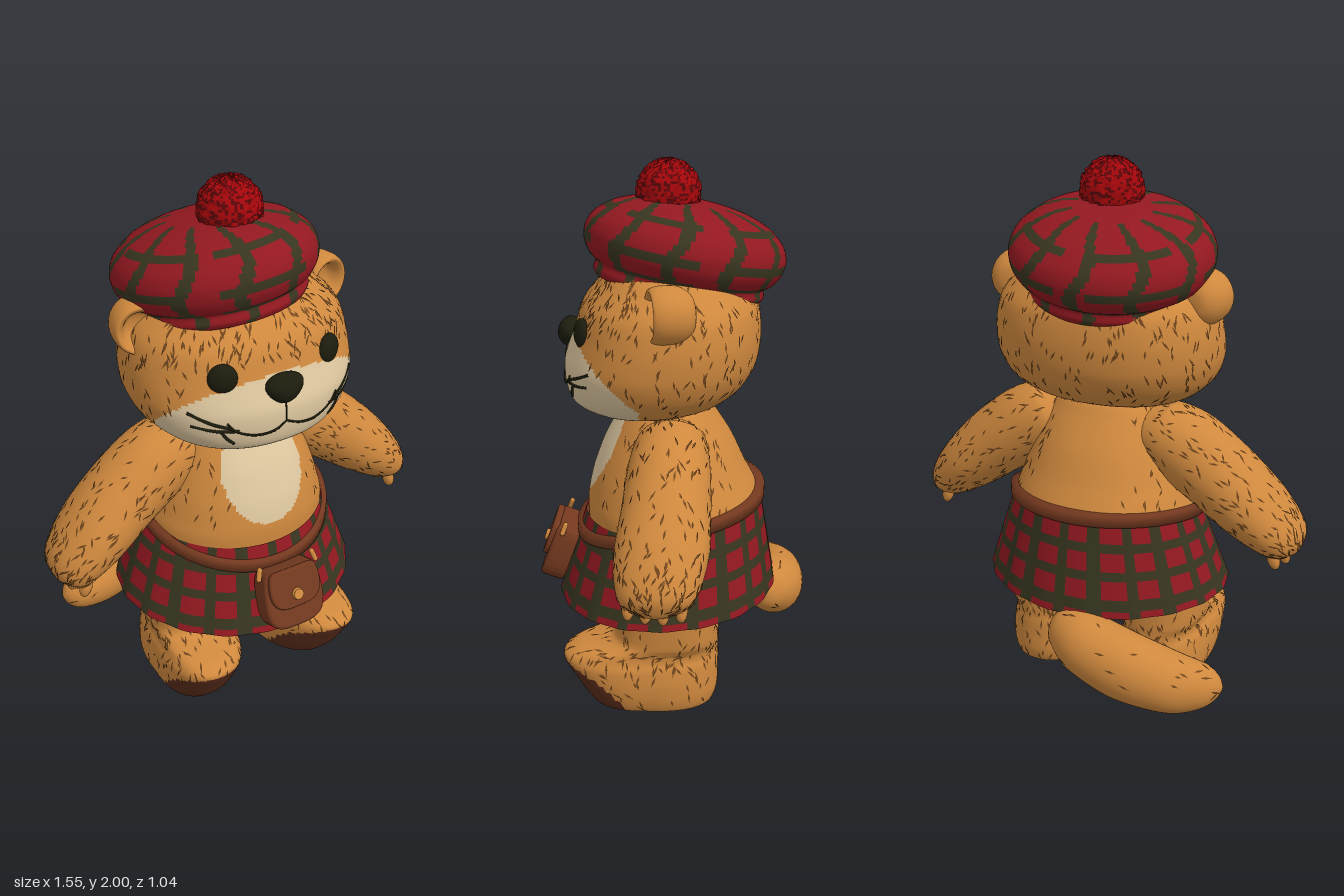
import * as THREE from 'three';

const V = (x, y, z) => new THREE.Vector3(x, y, z);
const TAU = Math.PI * 2;
const SIDES = [['left', 1], ['right', -1]];

function seeded(seed) {
  return () => (seed = (seed * 16807) % 2147483647) / 2147483647;
}

// Smooth sweep through rows [x, y, z, radius, depthRadius], closed at both ends; n is the superellipse exponent
function sweep(rows, n = 2) {
  const last = rows.length - 1;
  const at = (v) => {
    const f = Math.min(Math.max(v, 0), 1) * last, i = Math.min(Math.floor(f), last - 1), t = f - i;
    const r = (k) => rows[Math.min(Math.max(k, 0), last)];
    return rows[0].map((_, c) => {
      const a = r(i - 1)[c], b = r(i)[c], d = r(i + 1)[c], e = r(i + 2)[c];
      const m0 = (d - a) * 0.42, m1 = (e - b) * 0.42, t2 = t * t, t3 = t2 * t;
      return (2 * t3 - 3 * t2 + 1) * b + (t3 - 2 * t2 + t) * m0 + (3 * t2 - 2 * t3) * d + (t3 - t2) * m1;
    });
  };
  const pow = (c) => Math.sign(c) * Math.abs(c) ** (2 / n);
  return (u, v) => {
    const [x, y, z, r, rz] = at(v), a = at(v - 0.01), b = at(v + 0.01), open = v > 0 && v < 1 ? 1 : 0;
    const side = V(b[1] - a[1], a[0] - b[0], 0).normalize();
    const c = pow(Math.cos(u * TAU)) * Math.max(r * open, 0.0003), s = pow(Math.sin(u * TAU)) * Math.max(rz * open, 0.0003);
    return V(x + side.x * c, y + side.y * c, z + s);
  };
}

// Grid over P(u, v), closed in u; pick chooses a material index for each cell
function surface(name, P, nu, nv, mats, pick = () => 0) {
  const pos = [], lists = mats.map(() => []);
  for (let j = 0; j <= nv; j++) for (let i = 0; i < nu; i++) pos.push(...P(i / nu, j / nv).toArray());
  for (let j = 0; j < nv; j++) for (let i = 0; i < nu; i++) {
    const k = (i + 1) % nu, a = j * nu + i, b = j * nu + k, c = a + nu, d = b + nu;
    const u = (i + 0.5) / nu, v = (j + 0.5) / nv;
    lists[pick(u, v, P(u, v))].push(a, c, b, b, c, d);
  }
  const g = new THREE.BufferGeometry();
  g.setAttribute('position', new THREE.Float32BufferAttribute(pos, 3));
  g.setIndex(lists.flat());
  let start = 0;
  lists.forEach((l, m) => { g.addGroup(start, l.length, m); start += l.length; });
  g.computeVertexNormals();
  const mesh = new THREE.Mesh(g, mats);
  mesh.name = name;
  return mesh;
}

// Thin fur strokes lying on a surface, combed along v
function fur(name, P, count, mat, seed, keep = () => true) {
  const rnd = seeded(seed), pos = [], e = 0.004;
  for (let k = 0; k < count; k++) {
    const u = rnd(), v = 0.06 + rnd() * 0.88, p = P(u, v);
    const twist = (rnd() - 0.5) * 1.3, half = 0.013 + rnd() * 0.014;
    if (!keep(p)) continue;
    const dv = P(u, v + e).sub(P(u, v - e)).normalize(), du = P(u + e, v).sub(P(u - e, v)).normalize();
    const n = dv.clone().cross(du).normalize();
    const d = dv.applyAxisAngle(n, twist), s = n.clone().cross(d).multiplyScalar(0.0042);
    p.addScaledVector(n, 0.003);
    const a = p.clone().addScaledVector(d, -half), b = p.clone().addScaledVector(d, half);
    for (const q of [a, p.clone().add(s), b, a, b, p.clone().sub(s)]) pos.push(q.x, q.y, q.z);
  }
  const g = new THREE.BufferGeometry();
  g.setAttribute('position', new THREE.Float32BufferAttribute(pos, 3));
  g.computeVertexNormals();
  const m = new THREE.Mesh(g, mat);
  m.name = name;
  return m;
}

export function createModel() {
  const root = new THREE.Group();
  const mat = (name, color, side = THREE.FrontSide) => {
    const m = new THREE.MeshStandardMaterial({ color, side });
    m.name = name;
    return m;
  };
  const tan = mat('tan fur', 0xd0893e), cream = mat('cream fur', 0xdfc8a0), stroke = mat('fur strokes', 0x6e441b, THREE.DoubleSide);
  const red = mat('tartan red', 0x931820, THREE.DoubleSide), green = mat('tartan green', 0x37351f, THREE.DoubleSide);
  const leather = mat('leather', 0x74391f), sole = mat('sole brown', 0x5a2c1b), black = mat('eye black', 0x1d1c0d);
  const pomRed = mat('pompom red', 0xa5060a), pomDark = mat('pompom dark red', 0x5c0508);
  const add = (name, geo, m, x, y, z, parent = root) => {
    const mesh = new THREE.Mesh(geo, m);
    mesh.name = name;
    mesh.position.set(x, y, z);
    parent.add(mesh);
    return mesh;
  };

  // Torso with chest patch
  const torso = sweep([[0, 0.27, 0, 0.02, 0.02], [0, 0.29, 0, 0.15, 0.15], [0, 0.34, 0, 0.27, 0.26], [0, 0.45, 0, 0.33, 0.3],
    [0, 0.6, 0, 0.355, 0.32], [0, 0.72, 0, 0.354, 0.326], [0, 0.78, 0.004, 0.338, 0.316], [0, 0.86, 0.015, 0.312, 0.286], [0, 0.97, 0.02, 0.27, 0.24],
    [0, 1.08, 0.025, 0.22, 0.175], [0, 1.14, 0.025, 0.16, 0.13], [0, 1.18, 0.025, 0.02, 0.02]], 2.1);
  const onChest = (p) => p.z > 0 && (p.x / 0.165) ** 2 + ((p.y - 0.95) / 0.185) ** 2 < 1;
  root.add(surface('torso', torso, 160, 80, [tan, cream], (u, v, p) => (onChest(p) ? 1 : 0)));
  root.add(fur('torsoFur', torso, 420, stroke, 11, (p) => p.y > 0.78 && Math.abs(p.x) > 0.15));

  // Head with pale muzzle
  const headRows = [[0, 1.085, 0.12, 0.02, 0.02], [0, 1.095, 0.12, 0.15, 0.14], [0, 1.12, 0.11, 0.25, 0.21], [0, 1.16, 0.09, 0.33, 0.287],
    [0, 1.22, 0.065, 0.39, 0.33], [0, 1.3, 0.045, 0.42, 0.35], [0, 1.4, 0.022, 0.42, 0.338], [0, 1.5, 0.012, 0.395, 0.315],
    [0, 1.57, 0.005, 0.335, 0.265], [0, 1.64, 0, 0.24, 0.2], [0, 1.69, 0, 0.02, 0.02]];
  const head = sweep(headRows, 2.2);
  const onMuzzle = (p) => p.z > 0.11 && p.y < 1.42 - 0.9 * (0.36 - p.z);
  root.add(surface('head', head, 180, 100, [tan, cream], (u, v, p) => (onMuzzle(p) ? 1 : 0)));
  root.add(fur('headFur', head, 750, stroke, 23, (p) => !onMuzzle(p) && p.y > 1.13));
  root.add(fur('foreheadFur', head, 1100, stroke, 29, (p) => p.z > 0.1 && p.y > 1.46));
  const faceZ = (x, y) => {
    const i = headRows.findIndex((r) => r[1] > y), a = headRows[i - 1], b = headRows[i], t = (y - a[1]) / (b[1] - a[1]);
    const [, , cz, rx, rz] = a.map((q, c) => q + (b[c] - q) * t);
    return cz + rz * (1 - Math.abs(x / rx) ** 2.2) ** (1 / 2.2);
  };
  const faceLine = (name, pts, r) => {
    const curve = new THREE.CatmullRomCurve3(pts.map(([x, y]) => V(x, y, faceZ(x, y) + 0.004)));
    add(name, new THREE.TubeGeometry(curve, 14, r, 5), black, 0, 0, 0);
  };

  // Nose: wide at the top, narrow below
  const noseGeo = new THREE.SphereGeometry(1, 24, 16), np = noseGeo.attributes.position;
  for (let i = 0; i < np.count; i++) np.setX(i, np.getX(i) * (1 + 0.3 * np.getY(i)));
  noseGeo.scale(0.069, 0.055, 0.045).computeVertexNormals();
  add('nose', noseGeo, black, -0.01, 1.37, 0.38);
  faceLine('philtrum', [[-0.01, 1.33], [-0.01, 1.29], [-0.01, 1.25]], 0.003);

  for (const [side, s] of SIDES) {
    // Face details
    const eye = add(side + 'Eye', new THREE.SphereGeometry(0.055, 24, 16), black, s * 0.21, 1.425, faceZ(0.21, 1.425) - 0.006);
    eye.scale.set(0.95, 1, 0.55);
    eye.rotation.y = s * 0.4;
    faceLine(side + 'Mouth', [[-0.01, 1.25], [s * 0.05, 1.225], [s * 0.12, 1.22], [s * 0.19, 1.245], [s * 0.22, 1.28]], 0.0042);
    [[0.2, 1.255, 0.33, 1.315], [0.18, 1.245, 0.32, 1.265], [0.24, 1.25, 0.19, 1.19]].forEach(([x, y, x2, y2], i) =>
      faceLine(side + 'Whisker' + (i + 1), [[s * x, y], [s * (x + x2) / 2, (y + y2) / 2 - 0.006], [s * x2, y2]], 0.0055));

    // Cupped ear
    const ear = new THREE.SplineCurve([[0, -0.085], [0.06, -0.075], [0.095, -0.03], [0.1, 0.03], [0.088, 0.07], [0.068, 0.06], [0.045, 0.02], [0, 0.01]]
      .map(([x, y]) => new THREE.Vector2(x, y))).getPoints(28).map((p) => p.setX(Math.max(p.x, 0)));
    const earMesh = add(side + 'Ear', new THREE.LatheGeometry(ear, 32), tan, s * 0.36, 1.538, 0);
    earMesh.rotation.set(Math.PI / 2, 0, -s * 0.25);

    // Arm, fur and claws
    const arm = sweep([[0.14, 1.08, 0, 0.04, 0.05], [0.2, 1.03, 0, 0.115, 0.12], [0.32, 0.97, 0.005, 0.145, 0.145], [0.46, 0.87, 0.01, 0.14, 0.155],
      [0.58, 0.77, 0.02, 0.125, 0.162], [0.67, 0.69, 0.03, 0.1, 0.145], [0.72, 0.64, 0.035, 0.07, 0.11], [0.745, 0.61, 0.035, 0.01, 0.02]]
      .map(([x, ...r]) => [s * x, ...r]));
    root.add(surface(side + 'Arm', arm, 40, 40, [tan]));
    root.add(fur(side + 'ArmFur', arm, 420, stroke, 37 + s, (p) => Math.abs(p.x) > 0.22));
    [-0.05, 0.01, 0.07, 0.13].forEach((z, i) => {
      const claw = add(side + 'Claw' + (i + 1), new THREE.SphereGeometry(0.026, 12, 10), tan, s * (0.712 - Math.abs(z - 0.03) * 0.35), 0.61, z);
      claw.scale.set(0.9, 1.6, 0.85);
      claw.rotation.z = s * 0.3;
    });

    // Leg and toed-out foot with slanted sole
    const cx = s * 0.235, shear = (z) => s * 0.12 * Math.max(0, z - 0.1);
    const legBase = sweep([[0, 0.065, 0.01, 0.01], [0.002, 0.065, 0.13, 0.2], [0.015, 0.068, 0.155, 0.23], [0.06, 0.078, 0.168, 0.252],
      [0.12, 0.095, 0.172, 0.27], [0.18, 0.112, 0.166, 0.288], [0.21, 0.114, 0.155, 0.288], [0.235, 0.092, 0.152, 0.267], [0.255, 0.05, 0.157, 0.225],
      [0.285, 0.018, 0.165, 0.194], [0.4, 0.012, 0.17, 0.192], [0.52, 0.01, 0.165, 0.18], [0.58, 0.01, 0.02, 0.02]].map((r) => [cx, ...r]), 2.3);
    const leg = (u, v) => {
      const p = legBase(u, v);
      p.x += shear(p.z);
      p.y = Math.max(p.y, 0);
      return p;
    };
    const onSole = (p) => p.y < 0.008 ||
      (p.z > 0.17 && (Math.abs(p.x - cx - shear(p.z)) / 0.155) ** 2.4 + (Math.abs(p.y - 0.07) / 0.125) ** 2.4 < 1);
    root.add(surface(side + 'Leg', leg, 80, 60, [tan, sole], (u, v, p) => (onSole(p) ? 1 : 0)));
    root.add(fur(side + 'LegFur', leg, 420, stroke, 71 + s, (p) => p.y > 0.03 && p.y < 0.45 && !onSole(p)));
  }

  // Tail swung to one side
  const tail = sweep([[0.06, 0.35, -0.36, 0.01, 0.01], [0.03, 0.34, -0.37, 0.07, 0.07], [-0.07, 0.31, -0.395, 0.115, 0.11], [-0.25, 0.25, -0.4, 0.13, 0.12],
    [-0.42, 0.205, -0.37, 0.115, 0.11], [-0.53, 0.2, -0.34, 0.085, 0.08], [-0.58, 0.2, -0.325, 0.045, 0.04], [-0.6, 0.2, -0.32, 0.005, 0.005]]);
  root.add(surface('tail', tail, 40, 40, [tan]));
  root.add(fur('tailFur', tail, 45, stroke, 97));

  // Tartan skirt: wide and narrow uprights crossed by three bands
  const skirt = (u, v) => {
    const c = Math.cos(u * TAU), s = Math.sin(u * TAU), k = 1 + 0.006 * (1 - v) * Math.cos(u * TAU * 18);
    return V((0.472 - 0.11 * v) * c * k, (0.4 - 0.02 * s - 0.02 * s * s) * (1 - v) + (0.72 - 0.03 * s) * v, 0.025 - 0.023 * v + (0.415 - 0.083 * v) * s * k);
  };
  const upright = (t) => { const f = t % 1; return f < 0.2 || (f > 0.52 && f < 0.66); };
  const band = (v) => (v > 0.08 && v < 0.19) || (v > 0.4 && v < 0.5) || (v > 0.69 && v < 0.8);
  root.add(surface('skirt', skirt, 200, 40, [red, green], (u, v) => (upright(u * 10) || band(v) ? 1 : 0)));

  // Belt dipping toward the pouch
  const belt = (u, v) => {
    const c = Math.cos(u * TAU), s = Math.sin(u * TAU), row = Math.round(v * 3), out = row % 3 ? 0.014 : -0.025;
    const y = 0.722 - 0.075 * s - 0.03 * s * s, t = Math.max(0, 0.72 - 0.03 * s - y) / 0.34;
    return V((0.36 + 0.11 * t + out) * c, y + (row < 2 ? -0.022 : 0.022), 0.002 + 0.023 * t + (0.332 + 0.083 * t + out) * s);
  };
  root.add(surface('belt', belt, 96, 3, [leather]));

  // Pouch with flap, button and tabs
  const pouch = new THREE.Group();
  pouch.name = 'pouch';
  pouch.position.set(0, 0.505, 0.395);
  pouch.rotation.x = -0.36;
  root.add(pouch);
  const bag = (w, top, mid, low) => {
    const sh = new THREE.Shape();
    sh.moveTo(-w * 0.8, top);
    sh.lineTo(w * 0.8, top);
    sh.bezierCurveTo(w, top, w, mid, w, mid);
    sh.bezierCurveTo(w, low, w * 0.6, low, 0, low);
    sh.bezierCurveTo(-w * 0.6, low, -w, low, -w, mid);
    sh.bezierCurveTo(-w, mid, -w, top, -w * 0.8, top);
    return sh;
  };
  const extrude = (sh, depth, b) => new THREE.ExtrudeGeometry(sh, { depth, bevelSize: b, bevelThickness: b, bevelSegments: 4, curveSegments: 10 });
  add('pouchBody', extrude(bag(0.107, 0.09, -0.03, -0.11), 0.06, 0.016), leather, 0, 0, 0.01, pouch);
  add('pouchFlap', extrude(bag(0.098, 0.1, 0.04, -0.035), 0.01, 0.008), leather, 0, 0, 0.086, pouch);
  add('pouchButton', new THREE.CylinderGeometry(0.02, 0.024, 0.016, 20), tan, 0, 0.008, 0.108, pouch).rotation.x = Math.PI / 2;
  for (const [side, s] of SIDES) {
    add(side + 'PouchTab', new THREE.CapsuleGeometry(0.01, 0.035, 4, 10), tan, s * 0.118, 0.11, 0.06, pouch).rotation.z = s * 0.3;
  }

  // Tilted beret
  const beret = new THREE.Group();
  beret.name = 'beret';
  beret.position.set(-0.027, 1.54, -0.012);
  beret.rotation.set(-0.18, 0, 0.085);
  root.add(beret);
  const cap = sweep([[0, 0.3], [0.02, 0.312], [0.05, 0.308], [0.07, 0.335], [0.11, 0.36], [0.16, 0.366], [0.21, 0.345], [0.26, 0.285],
    [0.293, 0.2], [0.31, 0.1], [0.315, 0.004]].map(([y, r]) => [0, y, 0, r, r]));
  // The brim stays open at the bottom, so the sweep starts just above its closed end
  const brim = (u, v) => cap(u, 0.002 + 0.998 * v);
  beret.add(surface('beretCap', brim, 160, 50, [red, green], (u, v) => {
    const w = u + 0.012 * Math.sin(v * 12) + 1;
    const ring = (v > 0.2 && v < 0.28) || (v > 0.42 && v < 0.48) || (v > 0.65 && v < 0.71);
    return (ring && Math.sin(u * TAU * 5) > -0.75) || (v < 0.86 && (w * 11) % 1 < 0.24) ? 1 : 0;
  }));

  // Fuzzy pompom
  const rnd = seeded(5);
  const bumps = Array.from({ length: 64 * 41 }, () => 0.106 + rnd() * 0.013);
  const ball = (u, v) => {
    const j = Math.round(v * 40), r = bumps[j % 40 ? j * 64 + Math.round(u * 64) % 64 : 0], a = v * Math.PI;
    return V(-0.01 + r * Math.sin(a) * Math.cos(u * TAU), 1.883 - r * Math.cos(a), 0.02 + r * Math.sin(a) * Math.sin(u * TAU));
  };
  root.add(surface('pompom', ball, 64, 40, [pomRed, pomDark], () => (rnd() < 0.35 ? 1 : 0)));
  return root;
}
